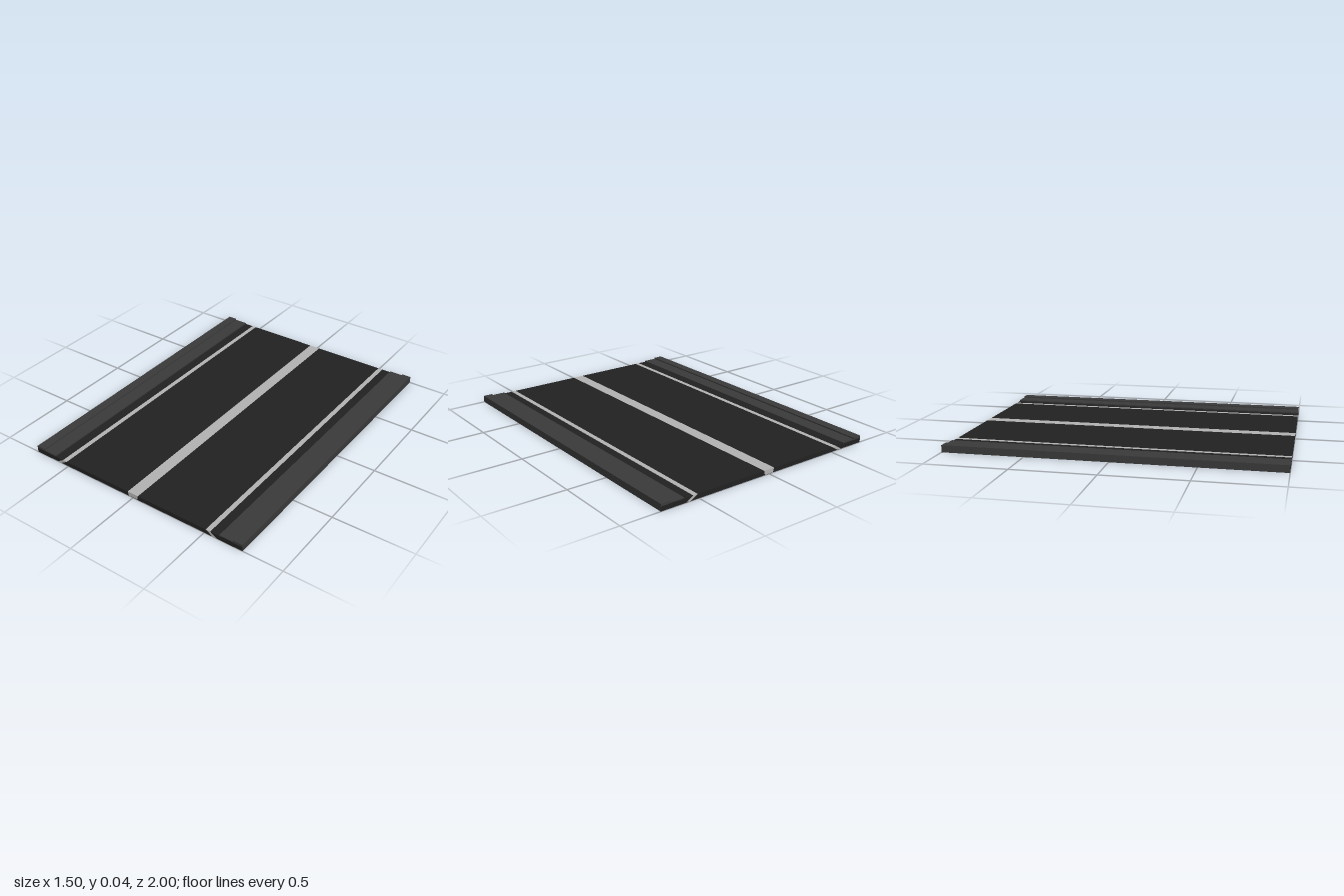
import * as THREE from 'three';

const LENGTH = 2;
const ROAD_TOP = 0.028;
const FLOOR = 0.001; // stripe inlays stop just above the underside

const material = (color) => new THREE.MeshStandardMaterial({ color, roughness: 0.9, flatShading: true });

// Sweeps an (x, y) cross-section along the whole road
function strip(name, points, mat) {
  const shape = new THREE.Shape(points.map(([x, y]) => new THREE.Vector2(x, y)));
  const geometry = new THREE.ExtrudeGeometry(shape, { depth: LENGTH, bevelEnabled: false });
  geometry.translate(0, 0, -LENGTH / 2);
  const mesh = new THREE.Mesh(geometry, mat);
  mesh.name = name;
  return mesh;
}

const mirror = (points) => points.map(([x, y]) => [-x, y]).reverse();

export function createModel() {
  const group = new THREE.Group();
  group.name = 'roadSection';
  const asphalt = material(0x222222);
  const paint = material(0xb4b4b4);
  const concrete = material(0x3a3a3a);

  // Cross-sections of the inlaid stripes and the stepped kerb
  const centre = [[-0.037, ROAD_TOP], [-0.031, FLOOR], [0.031, FLOOR], [0.037, ROAD_TOP]];
  const edge = [[0.51, ROAD_TOP], [0.553, FLOOR], [0.583, FLOOR], [0.54, ROAD_TOP]];
  const kerb = [
    [0.6, ROAD_TOP], [0.748, ROAD_TOP], [0.748, 0], [0.75, 0],
    [0.75, 0.043], [0.69, 0.043], [0.69, 0.035], [0.6, 0.035],
  ];

  // Road slab, with a groove for each stripe
  group.add(strip('roadSlab', [
    [-0.748, 0], [0.748, 0], [0.748, ROAD_TOP],
    ...[...edge].reverse(), ...[...centre].reverse(), ...[...mirror(edge)].reverse(),
    [-0.748, ROAD_TOP],
  ], asphalt));

  // Painted stripes
  group.add(strip('centreStripe', centre, paint));
  group.add(strip('leftEdgeStripe', edge, paint));
  group.add(strip('rightEdgeStripe', mirror(edge), paint));

  // Raised kerbs
  group.add(strip('leftKerb', kerb, concrete));
  group.add(strip('rightKerb', mirror(kerb), concrete));
  return group;
}
